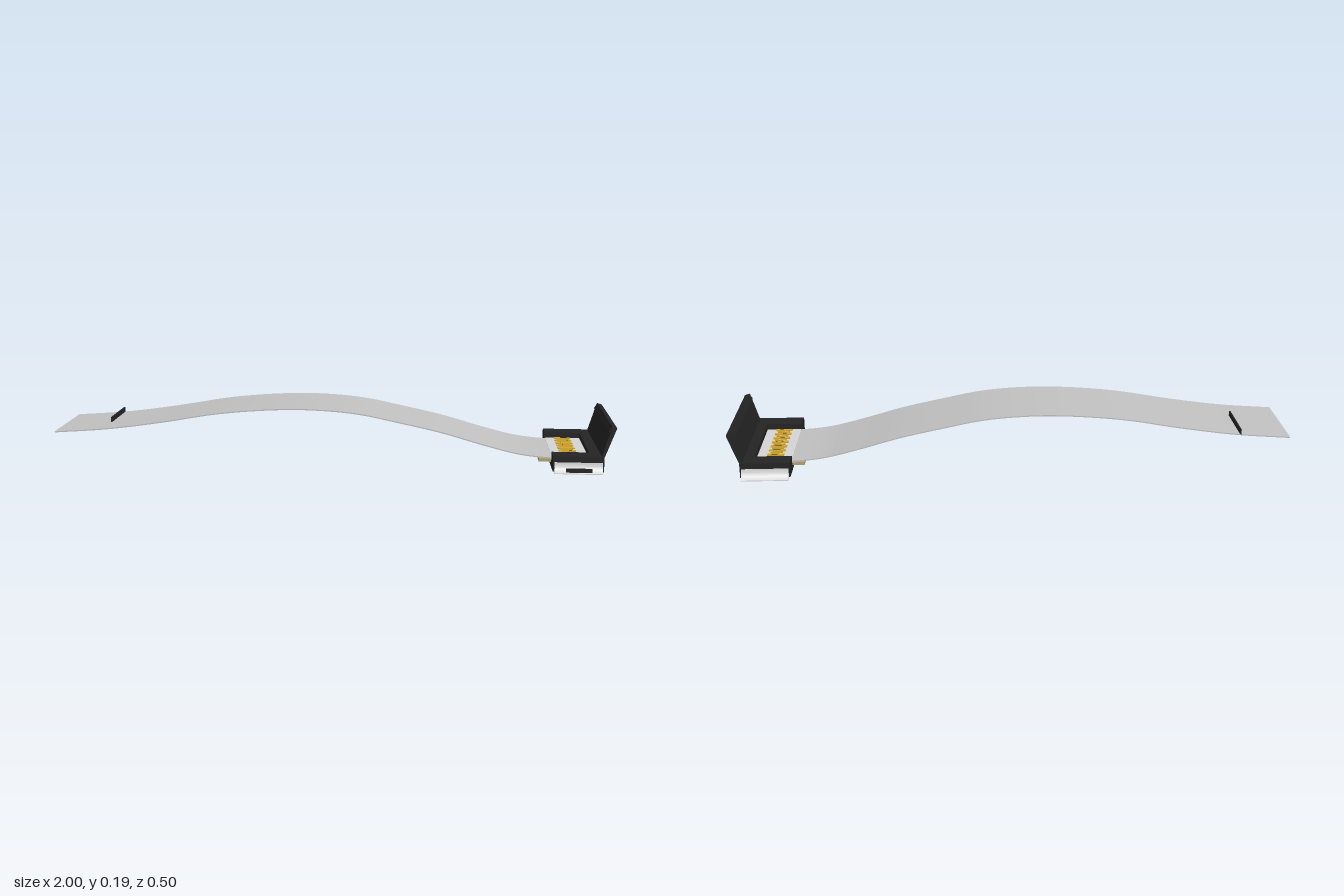
import * as THREE from 'three';

const mat = (name, color) => {
  const m = new THREE.MeshStandardMaterial({ color });
  m.name = name;
  return m;
};

export function createModel() {
  const group = new THREE.Group();
  group.name = 'ribbonCableAndConnector';
  const black = mat('black plastic', 0x242424);
  const ribbon = mat('ribbon grey', 0xc2c2c2);
  const white = mat('contact end light grey', 0xd6d6d6);
  const metal = mat('tab metal', 0xdedede);
  const gold = mat('contact gold', 0xd4a72c);
  const tan = mat('stiffener tan', 0xb3a67c);

  const add = (name, geo, material) => {
    const m = new THREE.Mesh(geo, material);
    m.name = name;
    group.add(m);
    return m;
  };
  // Box given by its lower and upper limits
  const box = (name, material, x0, x1, y0, y1, z0, z1) =>
    add(name, new THREE.BoxGeometry(x1 - x0, y1 - y0, z1 - z0)
      .translate((x0 + x1) / 2, (y0 + y1) / 2, (z0 + z1) / 2), material);

  // Ribbon: a thin slab bent along a wavy path
  const path = new THREE.CatmullRomCurve3([
    [-1, 0.093], [-0.8, 0.109], [-0.6, 0.137], [-0.4, 0.171], [-0.2, 0.189], [-0.06, 0.191],
    [0.1, 0.179], [0.25, 0.15], [0.4, 0.117], [0.55, 0.075], [0.67, 0.046], [0.78, 0.034], [0.88, 0.032],
  ].map(([x, y]) => new THREE.Vector3(x, y, 0)));
  const slab = new THREE.BoxGeometry(1, 0.004, 0.31, 80, 1, 1);
  const pos = slab.attributes.position;
  for (let i = 0; i < pos.count; i++) {
    const t = THREE.MathUtils.clamp(pos.getX(i) + 0.5, 0, 1);
    const p = path.getPoint(t), d = path.getTangent(t), h = pos.getY(i);
    pos.setXY(i, p.x - d.y * h, p.y + d.x * h);
  }
  slab.computeVertexNormals();
  add('ribbon', slab, ribbon);
  box('ribbonMark', black, -0.822, -0.817, 0.105, 0.127, -0.155, 0.038);

  // Stiffened ribbon end with its contacts
  box('stiffener', tan, 0.742, 0.91, 0.02, 0.031, -0.158, 0.155);
  box('contactEnd', white, 0.788, 0.915, 0.031, 0.037, -0.158, 0.155);
  for (let i = 0; i < 8; i++) {
    const z = -0.143 + i * 0.0405;
    box('contact', gold, 0.82, 0.88, 0.037, 0.041, z - 0.007, z + 0.007);
    box('contactSlot', black, 0.838, 0.866, 0.041, 0.0415, z - 0.0015, z + 0.0015);
    if (i < 7) box('smallContact', gold, 0.828, 0.872, 0.037, 0.041, z + 0.0175, z + 0.023);
  }

  // Connector housing: floor, rear wall, end walls
  box('housingFloor', black, 0.785, 0.96, 0.003, 0.02, -0.225, 0.225);
  box('housingRearWall', black, 0.915, 0.96, 0.003, 0.057, -0.225, 0.225);
  for (const s of [-1, 1]) {
    const [a, b] = s > 0 ? [0.157, 0.225] : [-0.225, -0.16];
    box('housingEndWall', black, 0.785, 0.915, 0.003, 0.057, a, b);

    // Flared solder tab
    const shape = new THREE.Shape();
    shape.moveTo(s * 0.222, 0);
    shape.lineTo(s * 0.25, 0);
    shape.lineTo(s * 0.25, 0.003);
    shape.quadraticCurveTo(s * 0.226, 0.006, s * 0.226, 0.036);
    shape.lineTo(s * 0.222, 0.036);
    const tab = new THREE.ExtrudeGeometry(shape, { depth: 0.165, bevelEnabled: false, curveSegments: 8 });
    add('solderTab', tab.rotateY(-Math.PI / 2).translate(0.955, 0, 0), metal);
  }
  box('tabMark', black, 0.828, 0.918, 0.003, 0.019, 0.241, 0.244);

  // Open locking flap with a ridge along its upper edge
  const extrudeZ = (name, pts, half) => {
    const shape = new THREE.Shape(pts.map(([x, y]) => new THREE.Vector2(x, y)));
    const geo = new THREE.ExtrudeGeometry(shape, { depth: half * 2, bevelEnabled: false });
    add(name, geo.translate(0, 0, -half), black);
  };
  extrudeZ('flap', [[0.949, 0.05], [0.96, 0.05], [0.998, 0.155], [0.982, 0.159]], 0.217);
  extrudeZ('flapRidge', [[0.972, 0.143], [0.994, 0.143], [1, 0.157], [0.983, 0.163]], 0.21);

  return group;
}
